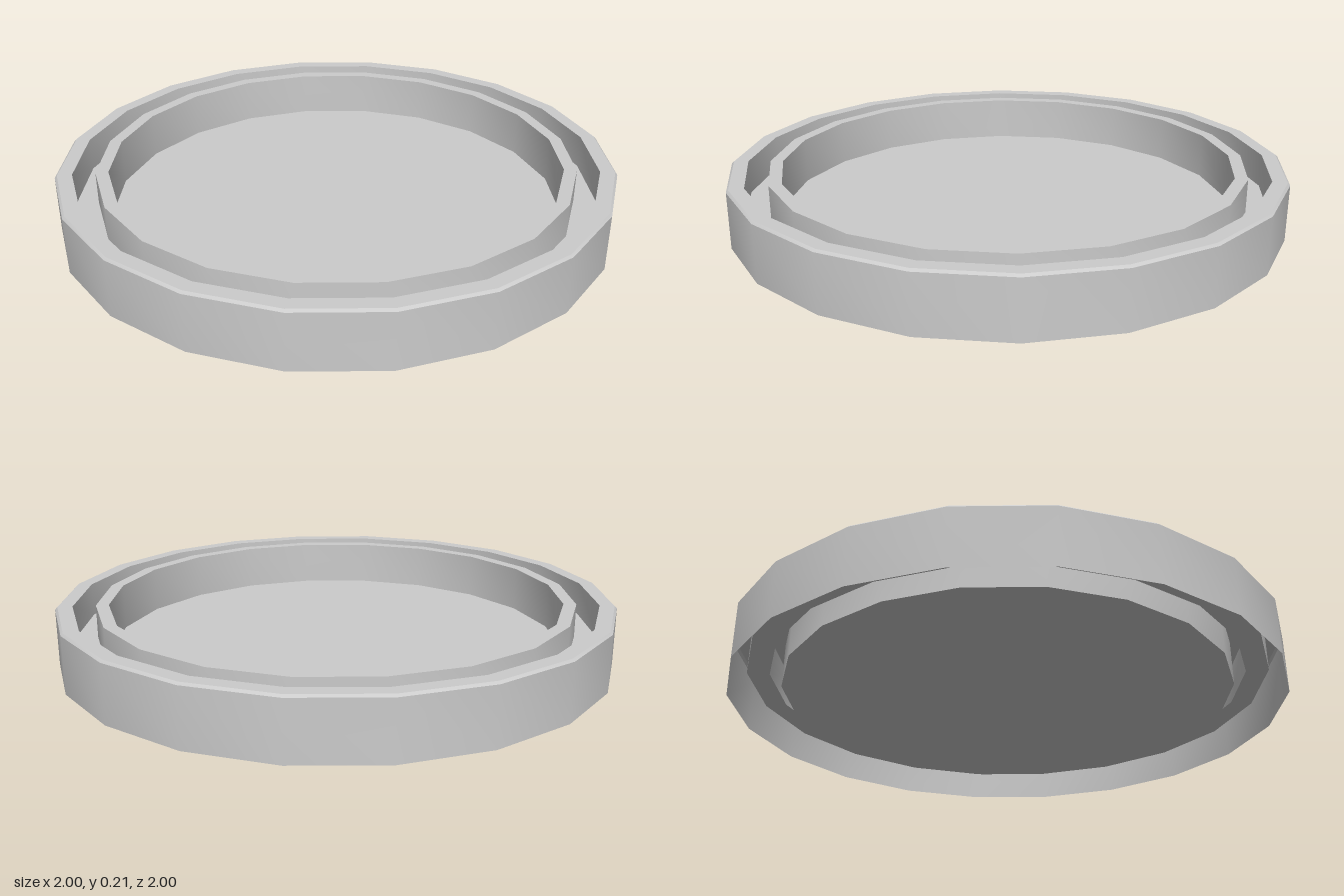
import * as THREE from 'three';
import { toCreasedNormals } from 'three/addons/utils/BufferGeometryUtils.js';

const SIDES = 20;
const TOP = 0.21;      // height of both rims
const GROOVE = 0.09;   // height of the groove bed
const FLOOR = 0.045;   // height of the inner floor

export function createModel() {
  const group = new THREE.Group();
  group.name = 'roundTray';
  const material = new THREE.MeshStandardMaterial({ color: 0xcccccc, side: THREE.DoubleSide });

  const add = (name, geometry) => {
    const mesh = new THREE.Mesh(geometry, material);
    mesh.name = name;
    group.add(mesh);
    return mesh;
  };

  // Turned sheet: smooth around the ring, sharp between profile steps
  const ring = (name, profile) => {
    const points = profile.map(([r, y]) => new THREE.Vector2(r, y));
    return add(name, toCreasedNormals(new THREE.LatheGeometry(points, SIDES), Math.PI / 6));
  };

  // Outer wall with a small bevel, open underneath
  ring('outerWall', [[1, 0], [1, TOP - 0.008], [0.992, TOP], [0.94, TOP]]);

  // Channel between the two rims
  ring('groove', [[0.94, TOP], [0.94, GROOVE], [0.86, GROOVE], [0.86, TOP]]);

  // Inner rim and the wall going down to the floor
  ring('innerRim', [[0.86, TOP], [0.815, TOP], [0.815, FLOOR]]);

  // Flat floor
  const floor = new THREE.CircleGeometry(0.815, SIDES);
  floor.rotateX(-Math.PI / 2);
  add('floor', floor).position.y = FLOOR;

  return group;
}
